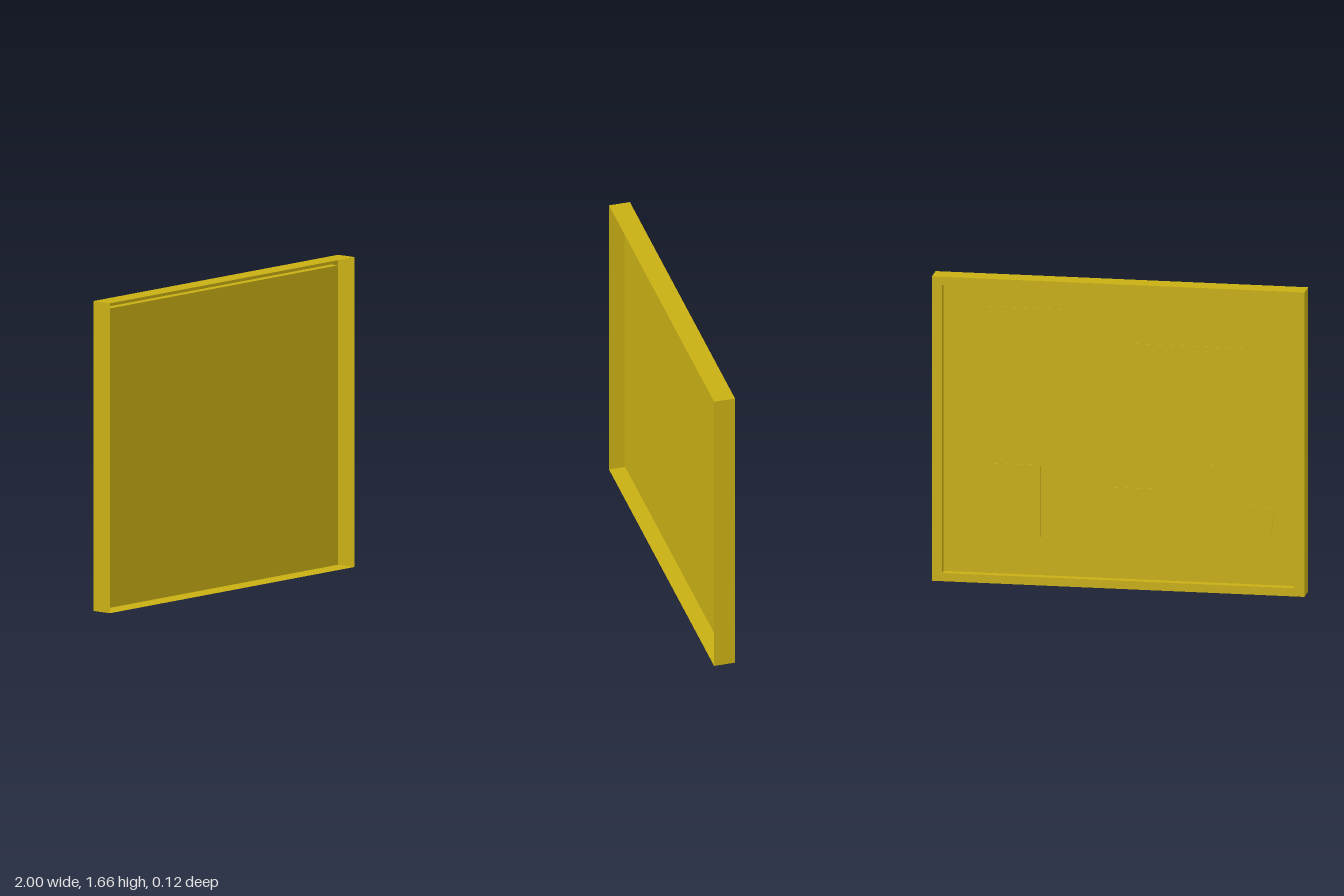
import * as THREE from 'three';

const W = 2, H = 1.66, Z = 0.0575;   // overall size, half depth
const IW = 1.89, IH = 1.57;          // recessed panel
const PANEL_Z = -Z + 0.045;

const material = new THREE.MeshStandardMaterial({ color: 0xc9b014, side: THREE.DoubleSide, flatShading: true });

function add(parent, name, geometry, x = 0, y = H / 2, z = 0) {
  const mesh = new THREE.Mesh(geometry, material);
  mesh.name = name;
  mesh.position.set(x, y, z);
  parent.add(mesh);
  return mesh;
}

// Four thin walls around a rectangle, from z0 to z1
function addWalls(parent, name, w, h, z0, z1) {
  const d = z1 - z0, z = (z0 + z1) / 2;
  for (const s of [-1, 1]) {
    const side = add(parent, name + (s > 0 ? 'Left' : 'Right'), new THREE.PlaneGeometry(d, h), s * w / 2, H / 2, z);
    side.rotation.y = s * Math.PI / 2;
    const cap = add(parent, name + (s > 0 ? 'Top' : 'Bottom'), new THREE.PlaneGeometry(w, d), 0, H / 2 + s * h / 2, z);
    cap.rotation.x = -s * Math.PI / 2;
  }
}

function rectangle(w, h, PathType) {
  return new PathType([[-1, -1], [1, -1], [1, 1], [-1, 1]].map(([x, y]) => new THREE.Vector2(x * w / 2, y * h / 2)));
}

export function createModel() {
  const model = new THREE.Group();
  model.name = 'framedBoard';

  // Outer shell, open at the front
  addWalls(model, 'outerWall', W, H, -Z, Z);

  // Flat border on the back, with an opening for the recessed panel
  const border = rectangle(W, H, THREE.Shape);
  border.holes.push(rectangle(IW, IH, THREE.Path));
  add(model, 'backBorder', new THREE.ShapeGeometry(border), 0, H / 2, -Z).rotation.y = Math.PI;

  // Step from the border to the panel
  addWalls(model, 'recessWall', IW, IH, -Z, PANEL_Z);
  add(model, 'panel', new THREE.PlaneGeometry(IW, IH), 0, H / 2, PANEL_Z).rotation.y = Math.PI;

  // Thin sheets fixed to the back of the panel: x, y, width, height, tilt
  const sheets = [
    [0.445, 1.145, 0.51, 0.71, 0],
    [-0.385, 1.135, 0.59, 0.39, 0],
    [0.57, 0.45, 0.295, 0.39, 0],
    [-0.07, 0.35, 0.295, 0.385, 0],
    [-0.52, 0.625, 0.135, 0.115, 0],
    [-0.695, 0.393, 0.255, 0.165, 0.12],
  ];
  const t = 0.004;
  for (const [x, y, w, h, tilt] of sheets) {
    add(model, 'pinnedSheet', new THREE.BoxGeometry(w, h, t), x, y, PANEL_Z - t / 2 - 0.0005).rotation.z = tilt;
  }
  return model;
}
